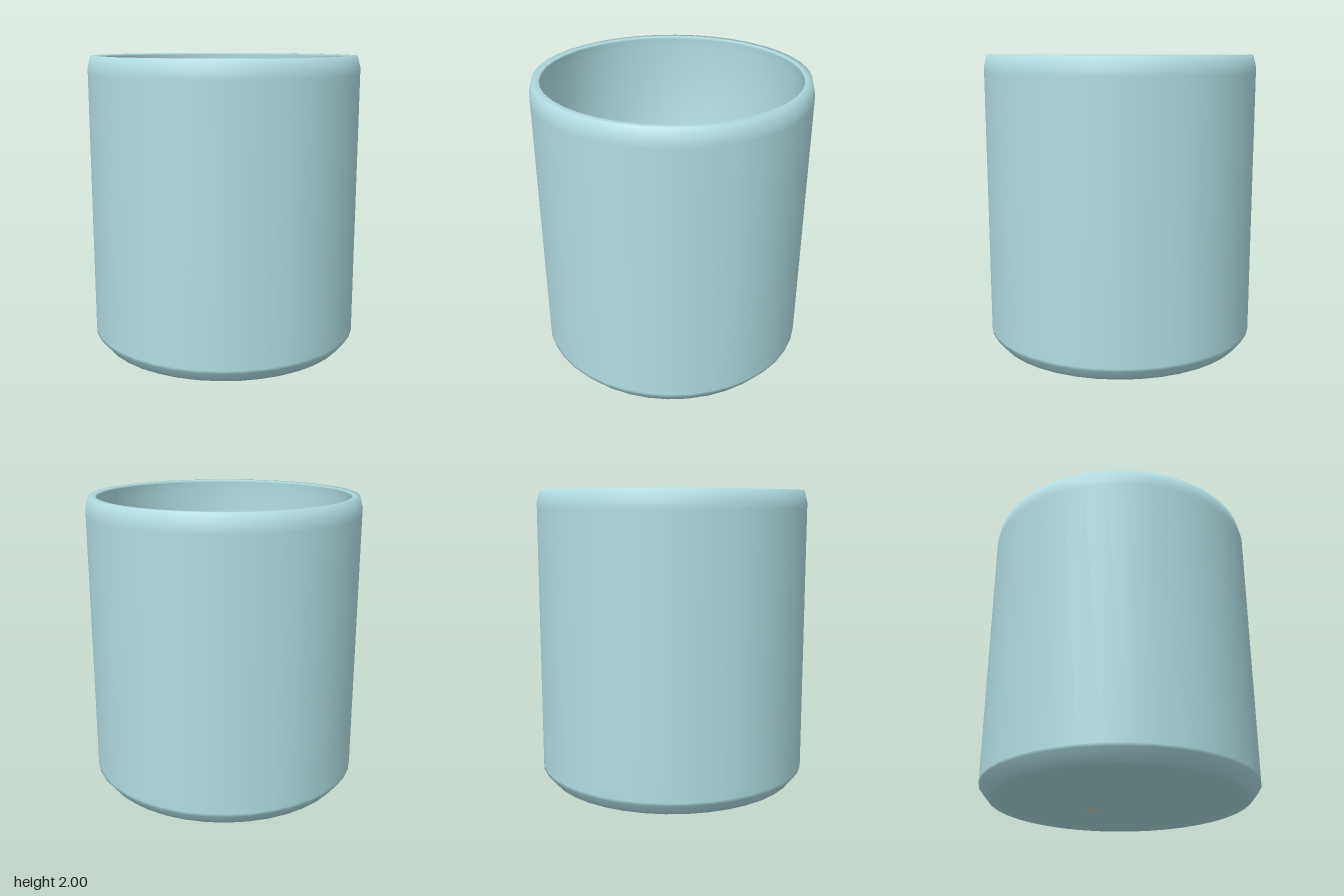
import * as THREE from 'three';

const cupMaterial = new THREE.MeshStandardMaterial({ color: 0xb0dde2 });
const boneMaterial = new THREE.MeshStandardMaterial({ color: 0xd8ccb0 });

const KNOB = 0.058;
const knobGeometry = new THREE.SphereGeometry(KNOB, 16, 12);
const UP = new THREE.Vector3(0, 1, 0);

// Shaft with a pair of rounded knobs at each end
function makeBone(a, b, roll) {
  const start = new THREE.Vector3(...a);
  const end = new THREE.Vector3(...b);
  const axis = end.clone().sub(start);
  const length = axis.length();
  axis.normalize();

  const bone = new THREE.Group();
  bone.name = 'bone';

  const shaft = new THREE.Mesh(new THREE.CylinderGeometry(0.046, 0.046, length, 16, 1, true), boneMaterial);
  shaft.name = 'boneShaft';
  shaft.position.copy(start).lerp(end, 0.5);
  shaft.quaternion.setFromUnitVectors(UP, axis);
  bone.add(shaft);

  // knobs are spread across the shaft, in a near upright plane
  const spread = UP.clone().addScaledVector(axis, -UP.dot(axis)).normalize().applyAxisAngle(axis, roll);
  for (const tip of [start, end]) {
    for (const side of [-1, 1]) {
      const knob = new THREE.Mesh(knobGeometry, boneMaterial);
      knob.name = 'boneKnob';
      knob.position.copy(tip).addScaledVector(spread, side * 0.045);
      bone.add(knob);
    }
  }
  return bone;
}

export function createModel() {
  const model = new THREE.Group();
  model.name = 'cupOfBones';

  // Cup: underside, bevel, wall, rim, inner wall and floor in one profile
  const profile = [
    [0, 0.015], [0.82, 0.015], [0.86, 0.016], [0.92, 0.09], [0.92, 0.11],
    [0.92, 1.88], [0.92, 1.92], [0.9, 2], [0.855, 2], [0.848, 1.985],
    [0.86, 1.92], [0.86, 0.08], [0, 0.08],
  ].map(([r, y]) => new THREE.Vector2(r, y));
  const cup = new THREE.Mesh(new THREE.LatheGeometry(profile, 40), cupMaterial);
  cup.name = 'cup';
  model.add(cup);

  // Loose pile of bones: both ends and the roll about the shaft
  const pile = new THREE.Group();
  pile.name = 'bonePile';
  const poses = [
    [[0.055, 0.105, -0.28], [0.2, 0.2, 0.08], 0.1],
    [[-0.36, 0.2, -0.26], [0.01, 0.19, -0.14], 0.4],
    [[-0.61, 0.25, 0.24], [-0.22, 0.18, 0.28], 0.1],
    [[-0.53, 0.25, -0.22], [-0.34, 0.2, 0.12], 0.2],
    [[0.58, 0.25, -0.32], [0.29, 0.18, -0.06], 0.2],
    [[0.07, 0.25, 0.17], [0.18, 0.18, 0.52], 0.1],
    [[0.27, 0.22, 0.0], [0.34, 0.18, 0.41], 0.2],
    [[0.33, 0.32, -0.21], [0.18, 0.24, 0.13], 0.3],
    [[-0.31, 0.34, -0.09], [0.08, 0.32, 0.06], 0.1],
    [[0.0, 0.34, -0.32], [0.24, 0.3, -0.07], 0.2],
    [[0.24, 0.42, -0.08], [0.25, 0.34, 0.28], 0.15],
    [[-0.07, 0.48, -0.45], [-0.13, 0.26, -0.2], 0.1],
    [[-0.06, 0.46, -0.17], [-0.29, 0.38, 0.11], 0.2],
    [[0.1, 0.46, -0.27], [0.18, 0.44, 0.1], 0.1],
    [[-0.53, 0.4, -0.2], [-0.14, 0.56, -0.25], 0.1],
  ];
  for (const [a, b, roll] of poses) pile.add(makeBone(a, b, roll));
  model.add(pile);

  return model;
}
